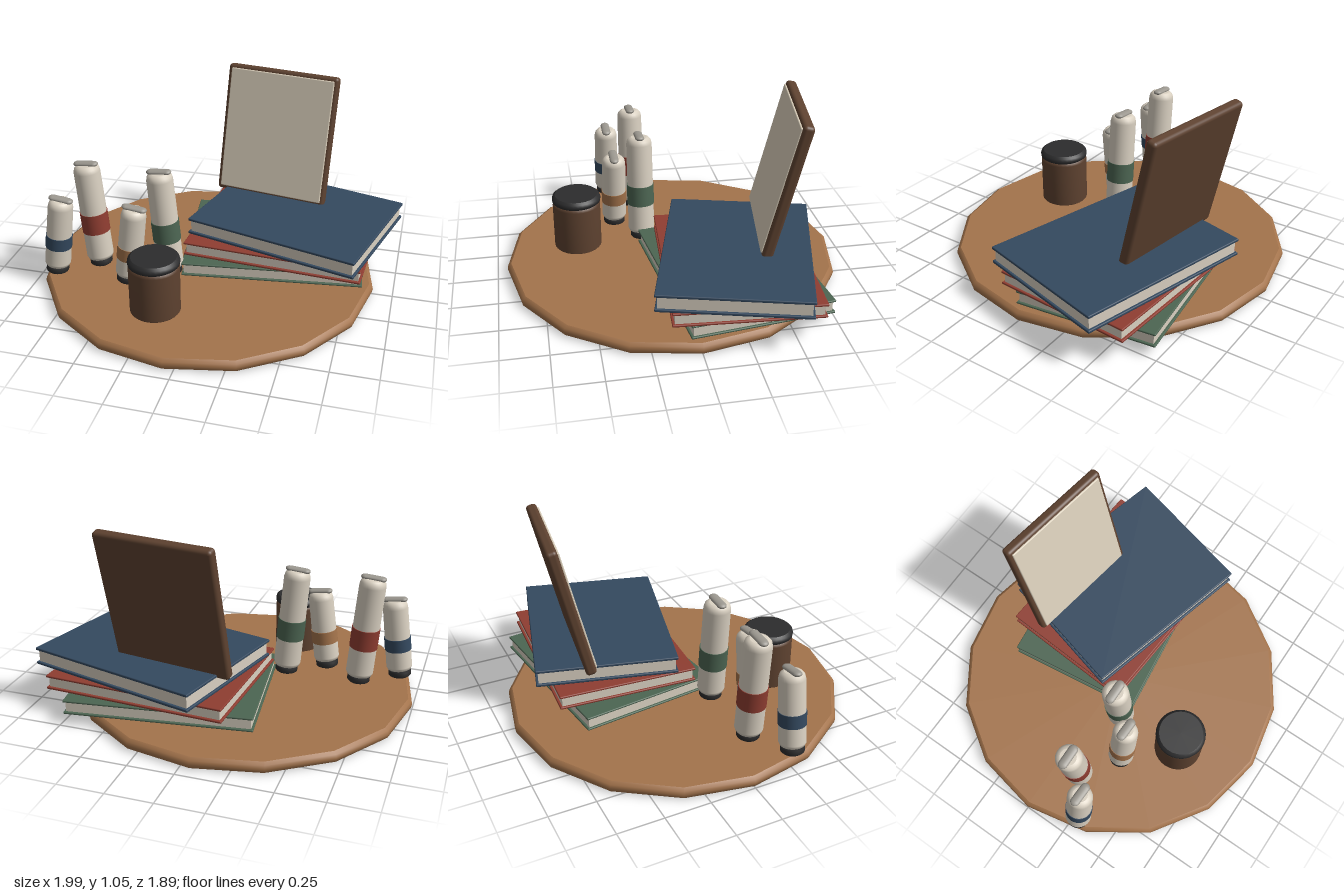
import * as THREE from 'three';
import { RoundedBoxGeometry } from 'three/addons/geometries/RoundedBoxGeometry.js';

const material = (name, color) => {
  const m = new THREE.MeshStandardMaterial({ color });
  m.name = name;
  return m;
};

export function createModel() {
  const wood = material('wood', 0xa3734b);
  const brown = material('dark brown', 0x5e4230);
  const cream = material('cream', 0xd9d0c1);
  const screenCream = material('screen cream', 0xd8cdb9);
  const blue = material('blue', 0x34495f);
  const red = material('red', 0x8f3d31);
  const green = material('green', 0x4c6552);
  const black = material('black', 0x2c2c2d);
  const grey = material('grey', 0x9b978f);

  const model = new THREE.Group();
  model.name = 'deskSet';

  const add = (parent, name, geometry, mat, x = 0, y = 0, z = 0) => {
    const mesh = new THREE.Mesh(geometry, mat);
    mesh.name = name;
    mesh.position.set(x, y, z);
    parent.add(mesh);
    return mesh;
  };
  const group = (name, x, y, z) => {
    const g = new THREE.Group();
    g.name = name;
    g.position.set(x, y, z);
    model.add(g);
    return g;
  };
  // Revolved profile of [radius, height] pairs; a repeated pair keeps a sharp edge
  const lathe = (points, sides = 32) =>
    new THREE.LatheGeometry(points.map(([r, y]) => new THREE.Vector2(r, y)), sides);

  // Sixteen-sided board with softened rim
  add(model, 'roundBoard', lathe([
    [0, 0], [0.925, 0], [0.925, 0], [0.94, 0.01], [0.945, 0.03],
    [0.94, 0.05], [0.922, 0.062], [0.922, 0.062], [0, 0.062],
  ], 16), wood, -0.055, 0, 0);

  // Stack of books: two cover boards around a page block
  const books = [
    { name: 'bottomBook', mat: green, x: 0.278, z: -0.28, y: 0.06, h: 0.08, t: 0.012, turn: 0.123 },
    { name: 'middleBook', mat: red, x: 0.343, z: -0.281, y: 0.14, h: 0.081, t: 0.013, turn: -0.068 },
    { name: 'topBook', mat: blue, x: 0.4, z: -0.28, y: 0.221, h: 0.1, t: 0.016, turn: -0.26 },
  ];
  for (const b of books) {
    const g = group(b.name, b.x, b.y, b.z);
    g.rotation.y = b.turn;
    const cover = new RoundedBoxGeometry(1.02, b.t, 0.787, 2, 0.005);
    add(g, 'lowerCover', cover, b.mat, 0, b.t / 2, 0);
    add(g, 'upperCover', cover, b.mat, 0, b.h - b.t / 2, 0);
    add(g, 'pages', new THREE.BoxGeometry(0.995, b.h - 2 * b.t, 0.76), cream, 0, b.h / 2, 0);
  }

  // Panel leaning back on top of the books
  const panel = group('leaningPanel', 0.205, 0.3, -0.46);
  panel.rotation.set(-0.235, -0.16, 0, 'YXZ');
  add(panel, 'panelFrame', new RoundedBoxGeometry(0.68, 0.77, 0.06, 3, 0.02), brown, 0, 0.385, 0);
  add(panel, 'panelScreen', new RoundedBoxGeometry(0.635, 0.725, 0.018, 2, 0.006), screenCream, 0, 0.385, 0.03);

  // Jar with lid
  const jar = group('jar', -0.22, 0.06, 0.525);
  add(jar, 'jarBody', lathe([
    [0, 0], [0.13, 0], [0.13, 0], [0.137, 0.008], [0.137, 0.27],
    [0.13, 0.287], [0.118, 0.292], [0.118, 0.292], [0, 0.292],
  ]), brown);
  add(jar, 'jarLid', lathe([
    [0, 0.282], [0.125, 0.282], [0.125, 0.282], [0.138, 0.292], [0.14, 0.305],
    [0.136, 0.32], [0.122, 0.331], [0.122, 0.331], [0, 0.331],
  ]), black);

  // Tilted bottles with a foot, a coloured band and a bar on top
  const bottles = [
    { name: 'tallBottleOuter', x: -0.672, z: 0.142, h: 0.625, r: 0.077, tilt: 0.09, band: red, b0: 0.215, b1: 0.335 },
    { name: 'tallBottleInner', x: -0.248, z: 0.142, h: 0.625, r: 0.077, tilt: 0.09, band: green, b0: 0.215, b1: 0.335 },
    { name: 'shortBottleOuter', x: -0.889, z: 0.282, h: 0.46, r: 0.073, tilt: -0.125, band: blue, b0: 0.165, b1: 0.24 },
    { name: 'shortBottleInner', x: -0.462, z: 0.282, h: 0.46, r: 0.073, tilt: -0.125, band: wood, b0: 0.155, b1: 0.23 },
  ];
  for (const { name, x, z, h, r, tilt, band, b0, b1 } of bottles) {
    const g = group(name, x, 0.06, z);
    g.rotation.z = tilt;
    add(g, 'foot', lathe([
      [0, 0], [0.056, 0], [0.064, 0.008], [0.064, 0.032], [0.056, 0.045], [0, 0.045],
    ]), black);
    add(g, 'body', lathe([
      [0, 0.04], [0.055, 0.04], [r - 0.006, 0.046], [r, 0.06], [r, 0.065], [r - 0.003, h - 0.04],
      [r - 0.008, h - 0.018], [r - 0.02, h - 0.004], [r - 0.032, h], [r - 0.032, h], [0, h],
    ]), cream);
    add(g, 'band', lathe([
      [r - 0.003, b0], [r + 0.002, b0], [r + 0.002, b0],
      [r + 0.002, b1], [r + 0.002, b1], [r - 0.003, b1],
    ]), band);
    const bar = add(g, 'topBar', new THREE.CapsuleGeometry(0.026, 0.09, 6, 16), grey, 0, h + 0.004, 0);
    bar.rotation.z = Math.PI / 2;
    bar.scale.x = 0.55;
  }

  return model;
}
